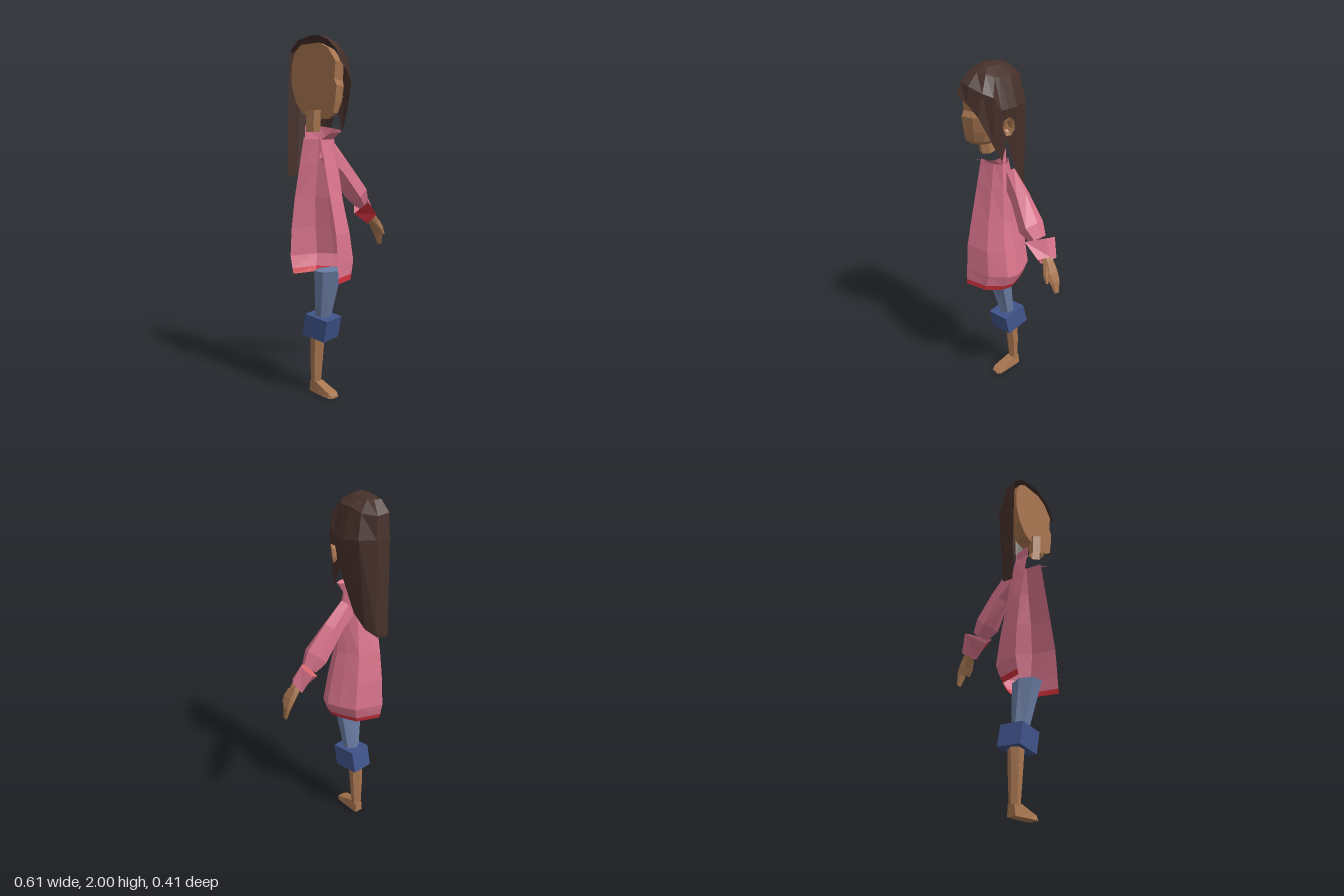
import * as THREE from 'three';

const MID = -0.26; // cut plane of the half figure
const SKIN = 0xa87650, HAIR = 0x46302a, PINK = 0xd9748c, RED = 0xd0303c, DENIM = 0x6a7da3, CUFF = 0x40538a;

// Skin a list of equal-length sections; optional closed loops and end caps
function loft(name, color, rings, { closed = true, capA = false, capB = false } = {}) {
  const pos = [];
  const tri = (a, b, c) => pos.push(...a, ...b, ...c);
  const n = rings[0].length;
  for (let i = 0; i + 1 < rings.length; i++) {
    for (let j = 0; j < (closed ? n : n - 1); j++) {
      const k = (j + 1) % n, a = rings[i], b = rings[i + 1];
      tri(a[j], a[k], b[k]);
      tri(a[j], b[k], b[j]);
    }
  }
  const cap = (r, flip) => {
    for (let j = 1; j + 1 < n; j++) flip ? tri(r[0], r[j + 1], r[j]) : tri(r[0], r[j], r[j + 1]);
  };
  if (capA) cap(rings[0], true);
  if (capB) cap(rings[rings.length - 1], false);
  const geo = new THREE.BufferGeometry();
  geo.setAttribute('position', new THREE.Float32BufferAttribute(pos, 3));
  geo.computeVertexNormals();
  const mesh = new THREE.Mesh(geo, new THREE.MeshStandardMaterial({ color, flatShading: true, side: THREE.DoubleSide }));
  mesh.name = name;
  return mesh;
}

// Horizontal polygon section
function section(x, y, z, rx, rz, sides, turn = 0, tilt = 0) {
  return Array.from({ length: sides }, (_, i) => {
    const a = turn + (i / sides) * Math.PI * 2, dz = Math.cos(a) * rz;
    return [x + Math.sin(a) * rx, y + dz * tilt, z + dz];
  });
}

// Half outline of the torso from front centre, round the side, to back centre
function halfRing([y, w, f, b, lift = 0]) {
  const c = (f + b) / 2, h = (f - b) / 2;
  return [[0, 1], [0.62, 0.8], [0.94, 0.38], [1, 0.05], [0.87, -0.33], [0.66, -0.77], [0, -1]]
    .map(([u, v]) => [MID + u * w, y - v * lift, c + v * h]);
}

function createHead() {
  const g = new THREE.Group();
  g.name = 'head';
  // y, width, front z, back z
  const rows = [[1.57, 0.06, 0.12, 0.0], [1.6, 0.1, 0.16, -0.08], [1.66, 0.125, 0.172, -0.13], [1.74, 0.135, 0.182, -0.16],
    [1.77, 0.14, 0.165, -0.165], [1.86, 0.14, 0.175, -0.16], [1.93, 0.1, 0.12, -0.13], [1.96, 0.05, 0.06, -0.08]];
  g.add(loft('face', SKIN, rows.map(([y, w, f, b]) => [
    [MID, y, f], [MID + w * 0.5, y, f - 0.02], [MID + w * 0.88, y, f * 0.65], [MID + w, y, f * 0.2],
    [MID + w * 0.9, y, b * 0.5], [MID + w * 0.5, y, b * 0.92], [MID, y, b]]), { capA: true, capB: true }));

  // Ear: a tilted rim with a recessed bowl
  const ear = [[0.02, 0.75, -0.05], [0.045, 1, 0], [0.036, 0.6, 0], [0.02, 0.35, -0.015]].map(([out, s]) =>
    Array.from({ length: 7 }, (_, i) => {
      const a = (i / 7) * Math.PI * 2, up = Math.cos(a) * 0.055 * s, back = Math.sin(a) * 0.028 * s;
      return [-0.095 + out + up * 0.15 - back * 0.5, 1.7 + up, 0.028 + back];
    }));
  g.add(loft('ear', SKIN, ear, { capB: true }));

  g.add(loft('neck', SKIN, [section(-0.265, 1.5, 0.01, 0.04, 0.046, 6, 0.25), section(-0.268, 1.615, 0.018, 0.04, 0.05, 6, 0.25)]));
  return g;
}

// Hair shell: locks from the crown down, ordered from forehead to nape
function createHair() {
  const crown = [MID, 2.0, -0.02];
  const locks = [
    [[MID, 2.0, 0.05], [MID, 1.97, 0.12], [MID, 1.92, 0.18], [MID, 1.86, 0.207]],
    [[-0.22, 2.0, 0.05], [-0.21, 1.97, 0.11], [-0.2, 1.91, 0.175], [-0.195, 1.82, 0.19]],
    [[-0.2, 1.995, 0.04], [-0.16, 1.965, 0.09], [-0.13, 1.88, 0.14], [-0.135, 1.76, 0.168]],
    [[-0.19, 1.99, 0.02], [-0.125, 1.95, 0.06], [-0.09, 1.86, 0.1], [-0.1, 1.6, 0.1]],
    [[-0.19, 1.99, 0.01], [-0.12, 1.95, 0.035], [-0.075, 1.79, 0.06], [-0.085, 1.5, 0.05]],
    [[-0.19, 1.99, -0.01], [-0.12, 1.95, 0.0], [-0.07, 1.79, 0.015], [-0.09, 1.62, 0.015]],
    [[-0.19, 1.99, -0.03], [-0.12, 1.95, -0.04], [-0.07, 1.79, -0.04], [-0.12, 1.38, -0.08]],
    [[-0.2, 1.985, -0.07], [-0.13, 1.93, -0.11], [-0.1, 1.8, -0.13], [-0.145, 1.3, -0.15]],
    [[-0.22, 1.985, -0.1], [-0.19, 1.92, -0.17], [-0.18, 1.8, -0.18], [-0.19, 1.26, -0.2]],
    [[MID, 1.985, -0.11], [MID, 1.93, -0.175], [MID, 1.8, -0.188], [MID, 1.25, -0.207]],
  ];
  return loft('hair', HAIR, locks.map(l => [crown, ...l]), { closed: false });
}

function createShirt() {
  const g = new THREE.Group();
  g.name = 'shirt';
  const open = { closed: false };
  const body = [[1.47, 0.15, 0.06, -0.07], [1.32, 0.172, 0.095, -0.105], [1.13, 0.19, 0.14, -0.15],
    [0.96, 0.222, 0.178, -0.178], [0.8, 0.253, 0.19, -0.19], [0.73, 0.222, 0.194, -0.175]];
  g.add(loft('shirtBody', PINK, body.map(halfRing), open));
  g.add(loft('hem', RED, [[0.73, 0.222, 0.194, -0.175], [0.7, 0.207, 0.196, -0.166]].map(halfRing), open));
  g.add(loft('collar', PINK, [[1.46, 0.14, 0.06, -0.06], [1.515, 0.152, 0.137, -0.06, 0.02]].map(halfRing), open));
  return g;
}

function createArm() {
  const g = new THREE.Group();
  g.name = 'arm';
  // Sleeve rings lie across the arm axis: centre x, y, z, half height, half depth
  const sleeve = [[-0.13, 1.4, -0.025, 0.07, 0.035], [-0.02, 1.29, -0.02, 0.065, 0.052],
    [0.085, 1.15, -0.01, 0.068, 0.075], [0.135, 1.09, -0.015, 0.045, 0.05]];
  g.add(loft('sleeve', PINK, sleeve.map(([x, y, z, r, d]) => Array.from({ length: 6 }, (_, i) => {
    const a = (i / 6) * Math.PI * 2, s = Math.cos(a) * r;
    return [x + s * 0.75, y + s * 0.66, z + Math.sin(a) * d];
  })), { capB: true }));

  // Four-sided turned-back cuff with a red underside
  const top = [[0.115, 1.095, 0.065], [0.196, 1.12, -0.02], [0.175, 1.09, -0.107], [0.085, 1.026, -0.02]];
  const low = [[0.206, 1.015, 0.05], [0.243, 1.026, -0.01], [0.225, 0.99, -0.075], [0.18, 0.958, 0.0]];
  g.add(loft('sleeveCuff', PINK, [top, low], { closed: false }));
  g.add(loft('cuffBackPanel', PINK, [[top[2], top[3]], [low[2], low[3]]], { closed: false }));
  g.add(loft('cuffLining', RED, [[top[3], top[0]], [low[3], low[0]]], { closed: false }));

  // Flat hand and thumb: centre x, y, z, half thickness, half width
  const limb = rows => rows.map(([x, y, z, t, w]) =>
    [[x + t, y + t * 0.5, z + w * 0.6], [x + t, y + t * 0.5, z - w * 0.6], [x, y, z - w],
      [x - t, y - t * 0.5, z - w * 0.6], [x - t, y - t * 0.5, z + w * 0.6], [x, y, z + w]]);
  g.add(loft('hand', SKIN, limb([[0.18, 1.05, -0.01, 0.02, 0.03], [0.225, 0.99, -0.01, 0.019, 0.036],
    [0.26, 0.935, -0.005, 0.016, 0.045], [0.285, 0.885, -0.01, 0.011, 0.035], [0.3, 0.82, -0.012, 0.004, 0.016]]), { capB: true }));
  g.add(loft('thumb', SKIN, limb([[0.235, 0.975, 0.015, 0.014, 0.02], [0.258, 0.93, 0.035, 0.011, 0.015],
    [0.275, 0.89, 0.04, 0.006, 0.009]]), { capB: true }));
  return g;
}

function createLeg() {
  const g = new THREE.Group();
  g.name = 'leg';
  g.add(loft('trouserLeg', DENIM, [section(-0.17, 0.74, 0.025, 0.088, 0.07, 6), section(-0.16, 0.45, -0.03, 0.046, 0.046, 6)], { capA: true }));
  // Rolled cuff, slightly turned and tilted
  const cuff = (y, z) => section(-0.159, y, z, 0.095, 0.115, 4, Math.PI / 4 + 0.12, -0.12);
  g.add(loft('trouserCuff', CUFF, [cuff(0.465, -0.028), cuff(0.34, -0.057)], { capA: true, capB: true }));
  g.add(loft('shin', SKIN, [section(-0.165, 0.36, -0.07, 0.044, 0.045, 6), section(-0.165, 0.2, -0.08, 0.039, 0.035, 6),
    section(-0.165, 0.05, -0.087, 0.03, 0.028, 6)]));
  // Foot sections run from heel to toe: z, half width, top height
  g.add(loft('foot', SKIN, [[-0.115, 0.026, 0.06], [-0.06, 0.032, 0.065], [0.0, 0.036, 0.042], [0.05, 0.038, 0.026], [0.073, 0.026, 0.012]]
    .map(([z, w, h]) => [[-0.165 - w, 0, z], [-0.165 - w * 0.8, h, z], [-0.165 + w * 0.8, h, z], [-0.165 + w, 0, z]]),
  { capA: true, capB: true }));
  return g;
}

export function createModel() {
  const model = new THREE.Group();
  model.name = 'halfFigure';
  model.add(createHead(), createHair(), createShirt(), createArm(), createLeg());
  return model;
}
